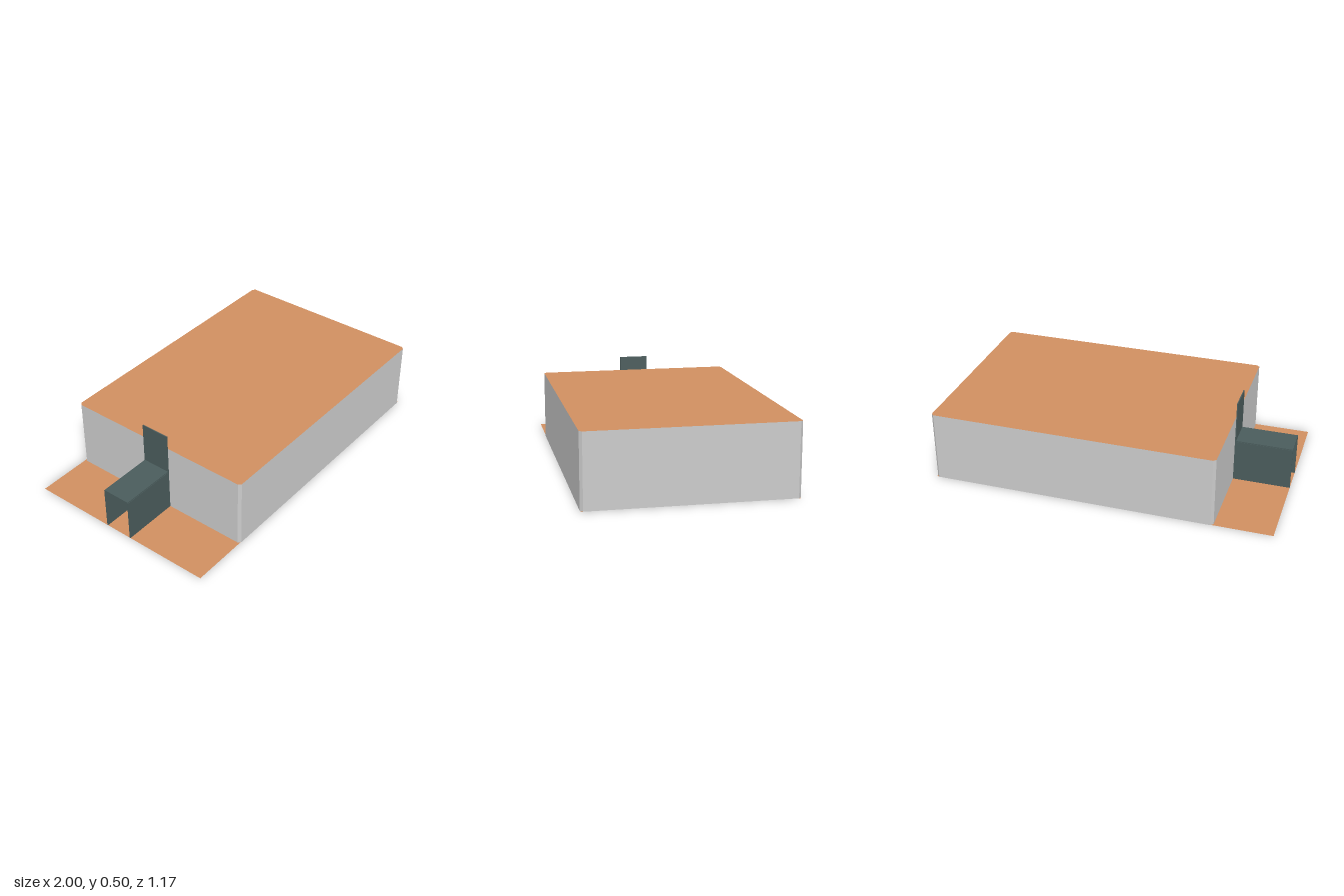
import * as THREE from 'three';

const DOUBLE = THREE.DoubleSide;
const wallMat = new THREE.MeshStandardMaterial({ color: 0xcccccc, side: DOUBLE, flatShading: true });
const boardMat = new THREE.MeshStandardMaterial({ color: 0xd08f60, side: DOUBLE });
const darkMat = new THREE.MeshStandardMaterial({ color: 0x4a5c5c });

const X0 = -0.665, X1 = 1, Z = 0.585, H = 0.415, C = 0.015; // room extents and corner chamfer
const DOOR = 0.085, DOOR_H = 0.25, T = 0.006;               // doorway half width, height, panel thickness

export function createModel() {
  const model = new THREE.Group();
  const add = (name, geometry, material, x = 0, y = 0, z = 0) => {
    const mesh = new THREE.Mesh(geometry, material);
    mesh.name = name;
    mesh.position.set(x, y, z);
    model.add(mesh);
    return mesh;
  };

  // Floor sheet under the room and the porch
  add('floor', new THREE.PlaneGeometry(2, 2 * Z - 0.006).rotateX(-Math.PI / 2), boardMat);

  // Chamfered plan outline of the room as [x, z], starting and ending on the entrance side
  const outline = [
    [X0, Z - C], [X0 + C, Z], [X1 - C, Z], [X1, Z - C],
    [X1, -Z + C], [X1 - C, -Z], [X0 + C, -Z], [X0, -Z + C],
  ];

  // Three long walls and the corner strips as one upright ribbon
  const positions = [], indices = [];
  outline.forEach(([x, z], i) => {
    positions.push(x, 0, z, x, H, z);
    if (i > 0) {
      const a = 2 * (i - 1);
      indices.push(a, a + 2, a + 3, a, a + 3, a + 1);
    }
  });
  const ribbon = new THREE.BufferGeometry();
  ribbon.setAttribute('position', new THREE.Float32BufferAttribute(positions, 3));
  ribbon.setIndex(indices);
  const walls = ribbon.toNonIndexed();
  walls.computeVertexNormals();
  add('walls', walls, wallMat);

  // Entrance wall with a doorway notch
  const w = Z - C;
  const entrance = new THREE.Shape([
    [-w, 0], [-DOOR, 0], [-DOOR, DOOR_H], [DOOR, DOOR_H], [DOOR, 0], [w, 0], [w, H], [-w, H],
  ].map(([x, y]) => new THREE.Vector2(x, y)));
  add('entranceWall', new THREE.ShapeGeometry(entrance).rotateY(-Math.PI / 2), wallMat, X0);

  // Flat roof
  const roof = new THREE.Shape(outline.map(([x, z]) => new THREE.Vector2(x, -z)));
  add('roof', new THREE.ShapeGeometry(roof).rotateX(-Math.PI / 2), boardMat, 0, H);

  // Open-ended porch tunnel: two sides and a cover
  const length = X0 + 1, mid = (X0 - 1) / 2;
  for (const side of [-1, 1]) {
    add(side > 0 ? 'porchSideFront' : 'porchSideBack',
      new THREE.BoxGeometry(length, DOOR_H, T), darkMat, mid, DOOR_H / 2, side * (DOOR - T / 2 + 0.002));
  }
  add('porchCover', new THREE.BoxGeometry(length, T, 2 * DOOR), darkMat, mid, DOOR_H + T / 2, 0);

  // Raised door panel on the entrance wall
  add('doorPanel', new THREE.BoxGeometry(T, 0.25, 2 * DOOR + 0.004), darkMat, X0 - T / 2, 0.375, 0);

  return model;
}
